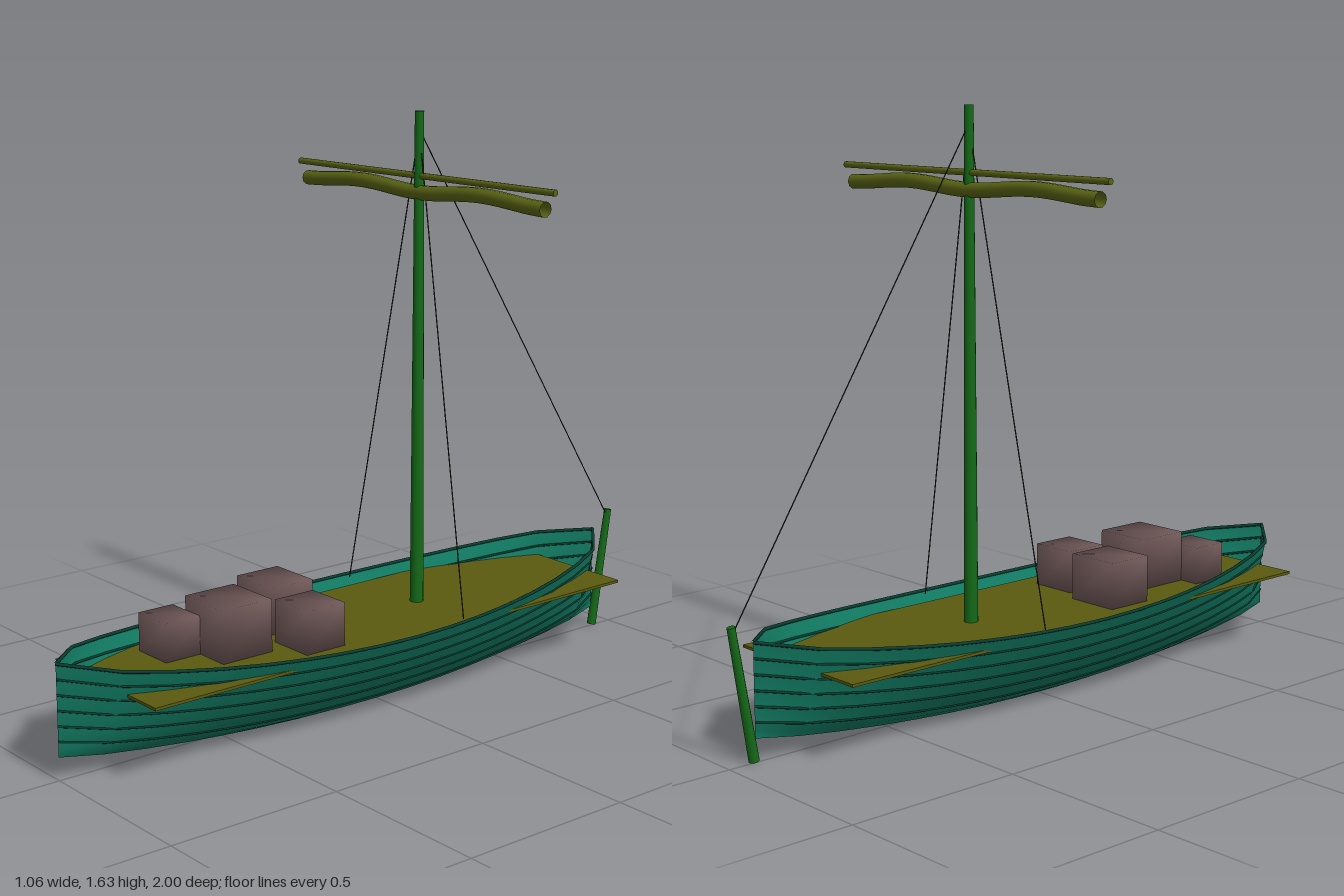
import * as THREE from 'three';
import { mergeVertices } from 'three/addons/utils/BufferGeometryUtils.js';

const STRAKES = 6, STATIONS = 16;
const mat = (color, side = THREE.FrontSide) => new THREE.MeshStandardMaterial({ color, side });

export function createModel() {
  const model = new THREE.Group();
  const hullMat = mat(0x117a62, THREE.DoubleSide);
  const seamMat = mat(0x0a3c30);
  const deckMat = mat(0x5a5a10);
  const sparMat = mat(0x146a18);
  const sailMat = mat(0x5a6414, THREE.DoubleSide);
  const cargoMat = mat(0x6f5757);
  const ropeMat = mat(0x2a2a20);

  const add = (name, geometry, material, parent = model) => {
    const mesh = new THREE.Mesh(geometry, material);
    mesh.name = name;
    parent.add(mesh);
    return mesh;
  };

  // Round bar between two points
  const bar = (name, a, b, rA, rB, material, sides = 12) => {
    const from = new THREE.Vector3(...a), to = new THREE.Vector3(...b);
    const dir = to.clone().sub(from);
    const mesh = add(name, new THREE.CylinderGeometry(rB, rA, dir.length(), sides), material);
    mesh.position.copy(from).add(to).multiplyScalar(0.5);
    mesh.quaternion.setFromUnitVectors(new THREE.Vector3(0, 1, 0), dir.normalize());
    return mesh;
  };

  // Hull surface: u runs stern to bow (-1..1), t from keel edge to rail (0..1)
  const hullPoint = (u, t, side) => {
    const beam = 0.283 * Math.pow(Math.max(0, Math.cos(u * Math.PI / 2)), 0.52);
    return new THREE.Vector3(
      side * beam * (0.2 + 0.8 * Math.pow(t, 0.65)),
      0.25 * t + 0.063 * u * u,
      0.04 + 0.96 * u
    );
  };
  const station = (i) => -1 + 2 * i / STATIONS;

  const strake = (k, side) => {
    const positions = [], index = [];
    for (let i = 0; i <= STATIONS; i++) {
      for (let j = 0; j <= 2; j++) {
        positions.push(...hullPoint(station(i), (k + j / 2) / STRAKES, side).toArray());
      }
    }
    for (let i = 0; i < STATIONS; i++) {
      for (let j = 0; j < 2; j++) {
        const a = i * 3 + j, b = a + 1, c = a + 3, d = a + 4;
        if (side > 0) index.push(a, b, c, b, d, c);
        else index.push(a, c, b, b, c, d);
      }
    }
    const geometry = new THREE.BufferGeometry();
    geometry.setAttribute('position', new THREE.Float32BufferAttribute(positions, 3));
    geometry.setIndex(index);
    geometry.computeVertexNormals();
    return geometry;
  };

  // Planking, seams and top rails, open along the keel line
  const hull = new THREE.Group();
  hull.name = 'hull';
  model.add(hull);
  for (const side of [-1, 1]) {
    for (let k = 0; k < STRAKES; k++) {
      add('strake', strake(k, side), hullMat, hull);
      const path = new THREE.CurvePath();
      for (let i = 0; i < STATIONS; i++) {
        const t = (k + 1) / STRAKES;
        path.add(new THREE.LineCurve3(hullPoint(station(i), t, side), hullPoint(station(i + 1), t, side)));
      }
      const rail = k === STRAKES - 1;
      add(rail ? 'rail' : 'seam', new THREE.TubeGeometry(path, 48, rail ? 0.005 : 0.0035, 6), seamMat, hull);
    }
  }

  // Flat deck
  add('deck', new THREE.BoxGeometry(0.47, 0.008, 1.65), deckMat).position.set(0, 0.227, 0.035);

  // Mast, yard and steering post
  bar('mast', [0, 0.225, -0.2], [0, 1.63, -0.2], 0.02, 0.013, sparMat);
  bar('yard', [-0.53, 1.453, -0.2], [0.53, 1.453, -0.2], 0.009, 0.009, sailMat, 10);
  bar('sternPost', [0, 0.005, -0.925], [0, 0.365, -0.985], 0.014, 0.011, sparMat);

  // Furled sail hanging in gentle waves under the yard
  const sailPoints = [];
  for (let i = 0; i <= 16; i++) {
    const x = -0.495 + 0.99 * i / 16;
    sailPoints.push(new THREE.Vector3(x, 1.414 - 0.007 * Math.cos(4 * Math.PI * x), -0.2));
  }
  add('furledSail', new THREE.TubeGeometry(new THREE.CatmullRomCurve3(sailPoints), 48, 0.021, 10), sailMat);

  // Rigging
  for (const side of [-1, 1]) {
    bar('shroud', [side * 0.25, 0.25, -0.155], [0, 1.58, -0.2], 0.0018, 0.0018, ropeMat, 6);
  }
  bar('backstay', [0, 0.355, -0.975], [0, 1.58, -0.2], 0.0018, 0.0018, ropeMat, 6);

  // Cargo bundles: x, z, width, depth, top height
  const bundles = [
    [-0.1, 0.235, 0.16, 0.14, 0.363],
    [0.1, 0.268, 0.14, 0.13, 0.352],
    [0, 0.465, 0.172, 0.16, 0.378],
    [-0.083, 0.6, 0.127, 0.11, 0.338],
  ];
  for (const [x, z, w, d, top] of bundles) {
    const box = new THREE.BoxGeometry(w, top - 0.228, d);
    box.deleteAttribute('normal');
    box.deleteAttribute('uv');
    const soft = mergeVertices(box);
    soft.computeVertexNormals();
    add('cargoBundle', soft, cargoMat).position.set(x, (top + 0.228) / 2, z);
  }

  return model;
}
